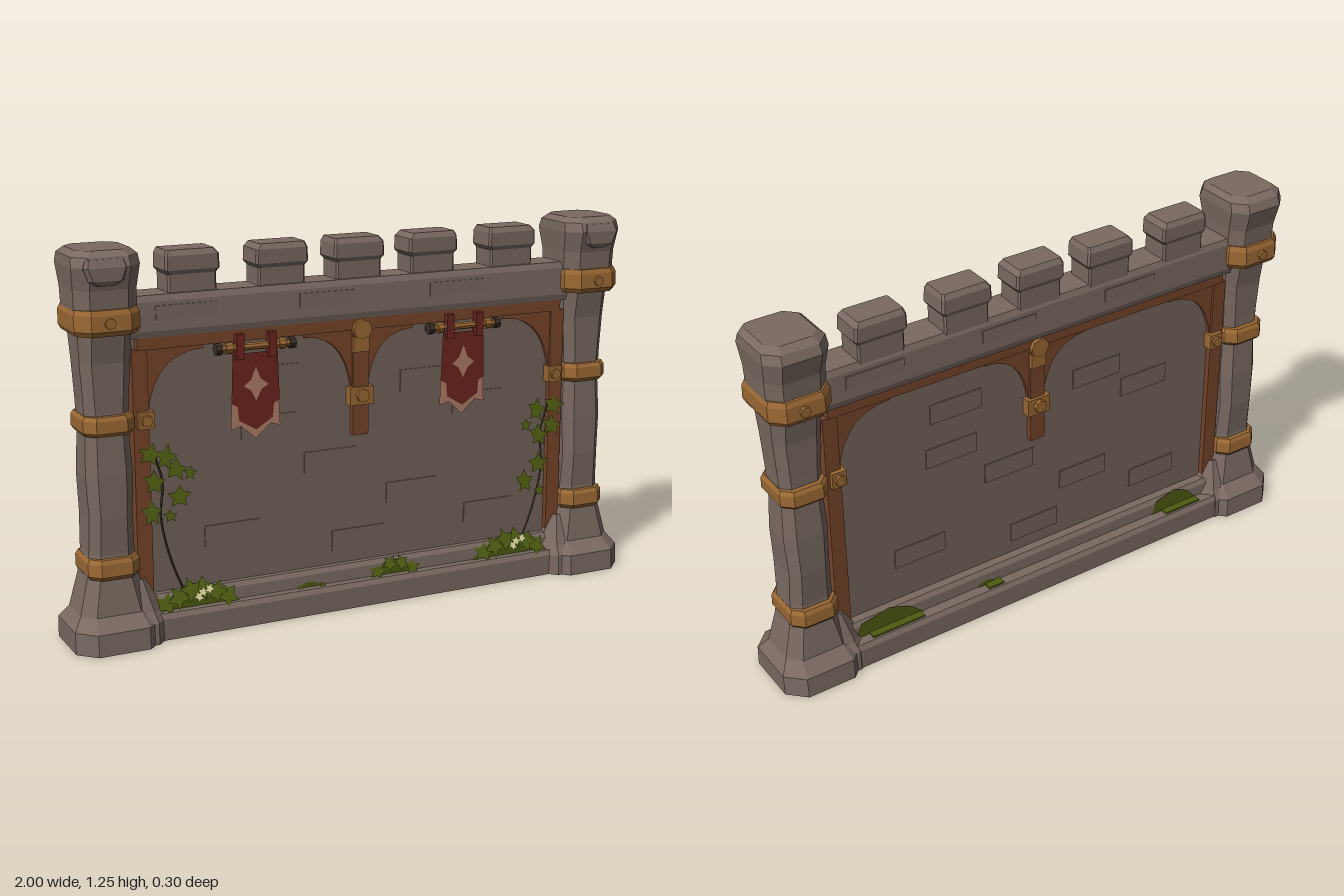
import * as THREE from 'three';

const mat = (name, color) => Object.assign(new THREE.MeshStandardMaterial({ color }), { name });

export function createModel() {
  const root = new THREE.Group();
  root.name = 'castleWall';
  const stone = mat('stone', 0x796961), panelStone = mat('panelStone', 0x74645a);
  const wood = mat('wood', 0x77442a), bronze = mat('bronze', 0x9a6833);
  const red = mat('redCloth', 0x6c241d), pale = mat('paleCloth', 0xb07d68);
  const leaf = mat('leaf', 0x4d5a10), petal = mat('petal', 0xd9d598), iron = mat('darkIron', 0x3a2f28);
  leaf.side = petal.side = red.side = pale.side = THREE.DoubleSide;

  // Faceted mesh with hard edges
  function add(name, geo, material, x = 0, y = 0, z = 0, parent = root) {
    const g = geo.index ? geo.toNonIndexed() : geo;
    g.computeVertexNormals();
    const m = new THREE.Mesh(g, material);
    m.name = name;
    m.position.set(x, y, z);
    parent.add(m);
    return m;
  }
  const box = (name, w, h, d, material, x, y, z, parent) =>
    add(name, new THREE.BoxGeometry(w, h, d), material, x, y, z, parent);

  // Chamfered rectangular sections stacked along y: [y, halfX, halfZ, shiftX, shiftZ]
  function stack(rings, cut = 0.4) {
    const pos = [], idx = [], n = 8;
    for (const [y, hx, hz, sx = 0, sz = 0] of rings) {
      const c = cut * Math.min(hx, hz);
      [[hx, hz - c], [hx - c, hz], [c - hx, hz], [-hx, hz - c],
        [-hx, c - hz], [c - hx, -hz], [hx - c, -hz], [hx, c - hz]]
        .forEach(([x, z]) => pos.push(x + sx, y, z + sz));
    }
    for (let r = 0; r < rings.length - 1; r++) for (let i = 0; i < n; i++) {
      const a = r * n + i, b = r * n + (i + 1) % n;
      idx.push(a, a + n, b, b, a + n, b + n);
    }
    const top = (rings.length - 1) * n;
    for (let i = 1; i < n - 1; i++) idx.push(0, i, i + 1, top, top + i + 1, top + i);
    const g = new THREE.BufferGeometry();
    g.setAttribute('position', new THREE.Float32BufferAttribute(pos, 3));
    g.setIndex(idx);
    return g;
  }
  const knob = (name, r, x, y, z, parent) =>
    add(name, new THREE.CylinderGeometry(r, r, 0.03, 8).rotateX(Math.PI / 2), bronze, x, y, z, parent);

  // Corner towers with bronze bands
  for (const s of [1, -1]) {
    const tower = new THREE.Group();
    tower.name = s > 0 ? 'leftTower' : 'rightTower';
    tower.position.x = s * 0.86;
    root.add(tower);
    add('towerBody', stack([
      [0, 0.14, 0.148], [0.07, 0.14, 0.144], [0.11, 0.112, 0.1], [0.22, 0.084, 0.082],
      [0.3, 0.074, 0.074], [0.42, 0.07, 0.08], [0.55, 0.076, 0.078], [0.68, 0.07, 0.07],
      [0.78, 0.073, 0.07], [0.9, 0.08, 0.072], [0.99, 0.085, 0.085], [1.06, 0.098, 0.104],
      [1.13, 0.1, 0.108], [1.2, 0.107, 0.126], [1.23, 0.104, 0.114], [1.247, 0.085, 0.09]]), stone, 0, 0, 0, tower);
    add('chippedLip', stack([[1.145, 0.03, 0.02], [1.16, 0.055, 0.028], [1.2, 0.07, 0.028], [1.225, 0.06, 0.018]]),
      stone, s * 0.01, 0, 0.1, tower);
    for (const [y, h, hx, hz] of [[0.257, 0.033, 0.084, 0.1], [0.71, 0.031, 0.082, 0.096], [1.032, 0.04, 0.104, 0.124]]) {
      add('bronzeBand', stack([[y - h, hx - 0.008, hz - 0.01], [y - h * 0.6, hx, hz],
        [y + h * 0.6, hx, hz - 0.003], [y + h, hx - 0.008, hz - 0.01]]), bronze, 0, 0, 0, tower);
    }
    for (const d of [1, -1]) knob('bandRivet', 0.017, s * 0.005, 1.032, d * 0.117, tower);
    // Low shoulder between tower foot and plinth
    add('towerFoot', stack([[0, 0.09, 0.125], [0.07, 0.09, 0.122], [0.1, 0.075, 0.1], [0.2, 0.02, 0.06]], 0.6),
      stone, -s * 0.085, 0, 0, tower);
  }

  // Stone wall, plinth and parapet
  add('plinth', stack([[0, 0.78, 0.11], [0.07, 0.78, 0.11], [0.086, 0.775, 0.1]], 0.1), stone, 0, 0, -0.01);
  add('plinthStep', stack([[0.08, 0.77, 0.068], [0.125, 0.77, 0.066], [0.14, 0.765, 0.055]], 0.1), stone, 0, 0, -0.005);
  box('wallPanel', 1.54, 0.9, 0.06, panelStone, 0, 0.54, 0);
  add('parapet', stack([[0.965, 0.785, 0.06], [0.985, 0.785, 0.065], [1.075, 0.785, 0.063], [1.095, 0.785, 0.055]], 0.05),
    stone, 0, 0, -0.005);
  [-0.57, -0.27, 0, 0.27, 0.57].forEach((x, i) => add('merlon', stack([
    [1.08, 0.08, 0.052], [1.15, 0.08, 0.052], [1.163, 0.09, 0.058],
    [1.208, 0.088, 0.058, 0, 0], [1.225, 0.078, 0.048, i % 2 ? 0.004 : -0.004]], 0.12), stone, x, 0, -0.012));

  // Slightly raised bricks on both faces
  for (const d of [1, -1]) {
    [[-0.32, 0.64], [0.45, 0.64], [-0.1, 0.5], [0.2, 0.36], [-0.45, 0.3], [0.5, 0.25], [-0.3, 0.8], [0.25, 0.74], [0, 0.22]]
      .forEach(([x, y]) => box('raisedBrick', 0.19, 0.07, 0.006, panelStone, d * x, y, d * 0.031));
    [-0.6, -0.12, 0.35].forEach((x) => box('parapetBrick', 0.2, 0.045, 0.006, stone, d * x, 1.04, -0.005 + d * 0.064));
  }

  // Timber frame
  box('topBeam', 1.52, 0.045, 0.108, wood, 0, 0.95, 0);
  box('centrePost', 0.055, 0.36, 0.104, wood, 0, 0.757, 0);
  function bracket(x0, x1) {
    const sh = new THREE.Shape();
    sh.moveTo(x0, 0.935);
    sh.lineTo(x1, 0.935);
    sh.lineTo(x1, 0.915);
    sh.quadraticCurveTo(x0 + (x1 - x0) * 0.1, 0.915, x0, 0.71);
    sh.closePath();
    add('curvedBracket', new THREE.ExtrudeGeometry(sh, { depth: 0.084, bevelEnabled: false, curveSegments: 7 }),
      wood, 0, 0, -0.042);
  }
  for (const s of [1, -1]) {
    box('sidePost', 0.05, 0.82, 0.1, wood, s * 0.752, 0.52, 0);
    bracket(s * 0.728, s * 0.54);
    bracket(s * 0.026, s * 0.195);
    box('postClasp', 0.05, 0.055, 0.13, bronze, s * 0.74, 0.71, 0);
    for (const d of [1, -1]) knob('claspRivet', 0.018, s * 0.74, 0.71, d * 0.06);
  }
  box('centreClasp', 0.085, 0.06, 0.124, bronze, 0, 0.71, 0);
  for (const d of [1, -1]) {
    knob('centreRivet', 0.022, 0, 0.712, d * 0.06);
    knob('beamBoss', 0.033, 0, 0.93, d * 0.053);
    box('bossPlate', 0.055, 0.05, 0.012, bronze, 0, 0.88, d * 0.053);
  }

  // Hanging banners
  const flat = (pts) => new THREE.ShapeGeometry(new THREE.Shape(pts.map(([x, y]) => new THREE.Vector2(x, y))));
  for (const s of [1, -1]) {
    const banner = new THREE.Group();
    banner.name = 'banner';
    banner.position.set(s * 0.375, 0, 0.062);
    root.add(banner);
    const rod = (name, r, len, x, m) =>
      add(name, new THREE.CylinderGeometry(r, r, len, 8).rotateZ(Math.PI / 2), m, x, 0.91, 0, banner);
    rod('bannerPole', 0.012, 0.25, 0, bronze);
    for (const e of [1, -1]) {
      rod('poleCap', 0.019, 0.02, e * 0.125, iron);
      rod('poleRing', 0.018, 0.022, e * 0.09, bronze);
      box('bannerStrap', 0.026, 0.08, 0.03, red, e * 0.055, 0.913, 0, banner);
    }
    add('bannerTrim', flat([[-0.075, 0.885], [-0.085, 0.645], [-0.05, 0.655], [0, 0.61], [0.05, 0.655],
      [0.085, 0.645], [0.075, 0.885]]), pale, 0, 0, -0.004, banner);
    add('bannerCloth', flat([[-0.077, 0.89], [-0.082, 0.73], [-0.062, 0.72], [-0.058, 0.675], [0, 0.64],
      [0.058, 0.675], [0.062, 0.72], [0.082, 0.73], [0.077, 0.89]]), red, 0, 0, 0, banner);
    add('bannerStar', flat([[0, 0.845], [0.016, 0.805], [0.042, 0.785], [0.018, 0.77], [0, 0.735],
      [-0.018, 0.77], [-0.042, 0.785], [-0.016, 0.805]]), pale, 0, 0, 0.004, banner);
  }

  // Ivy: pointed leaves and thin stems
  function star(name, x, y, z, size, turn, tilt, material = leaf) {
    const pts = [];
    for (let i = 0; i < 10; i++) {
      const r = size * (i % 2 ? 0.52 : 1), a = (i * Math.PI) / 5;
      pts.push([Math.cos(a) * r, Math.sin(a) * r * 0.85]);
    }
    add(name, flat(pts), material, x, y, z).rotation.set(tilt, 0, turn);
  }
  const vines = [
    [[-0.73, 0.6], [-0.68, 0.585], [-0.65, 0.545], [-0.6, 0.525], [-0.72, 0.51], [-0.64, 0.455], [-0.73, 0.41], [-0.67, 0.395]],
    [[0.74, 0.6], [0.67, 0.59], [0.73, 0.53], [0.63, 0.54], [0.68, 0.5], [0.68, 0.4], [0.63, 0.34], [0.69, 0.3]]];
  vines.forEach((list, v) => {
    list.forEach(([x, y], i) => star('ivyLeaf', x, y, 0.06 + 0.003 * (i % 3), i % 4 === 3 ? 0.025 : 0.043, i * 1.3, -0.25));
    const s = v ? 1 : -1;
    const path = new THREE.CatmullRomCurve3([[0.62, 0.12], [0.67, 0.25], [0.7, 0.4], [0.69, 0.5], [0.72, 0.61]]
      .map(([x, y]) => new THREE.Vector3(s * x, y, 0.054)));
    add('ivyStem', new THREE.TubeGeometry(path, 12, 0.004, 4), iron);
  });

  // Ground plants: low mound, fanned leaves, blossoms
  function bush(x, w, h, count) {
    const sh = [[-w, 0.08], [-w * 0.6, 0.08 + h * 0.35], [-w * 0.25, 0.08 + h * 0.7], [w * 0.25, 0.08 + h * 0.6],
      [w * 0.6, 0.08 + h * 0.3], [w, 0.08]];
    add('bushMound', flat(sh), leaf, x, 0, 0.066);
    for (let i = 0; i < count; i++) {
      const t = count > 1 ? (i / (count - 1)) * 2 - 1 : 0;
      star('bushLeaf', x + t * w * 0.65, 0.08 + h * (0.65 - 0.4 * Math.abs(t)), 0.07 + 0.004 * (i % 3), h * 0.38, i * 0.9, -0.5);
    }
  }
  bush(-0.59, 0.16, 0.115, 6);
  bush(0.57, 0.16, 0.115, 6);
  bush(0.12, 0.1, 0.085, 4);
  bush(-0.19, 0.06, 0.035, 2);
  for (const s of [1, -1]) {
    [[0, 0], [0.022, 0.008], [-0.014, -0.013]].forEach(([dx, dy], i) =>
      star('blossom', s * 0.58 + dx, 0.14 + dy, 0.095 + 0.002 * i, 0.02, i, -0.4, petal));
  }
  // Moss along the rear ledge
  for (const [x, w, h] of [[0.6, 0.13, 0.075], [-0.58, 0.1, 0.075], [0.22, 0.04, 0.02]]) {
    add('rearMoss', flat([[-w, 0.085], [w, 0.085], [w * 0.8, 0.085 + h * 0.7], [0, 0.085 + h], [-w * 0.6, 0.085 + h * 0.6]]),
      leaf, x, 0, -0.076);
    box('rearMossPatch', w * 1.5, 0.006, 0.03, leaf, x - 0.02, 0.089, -0.088);
  }
  return root;
}
